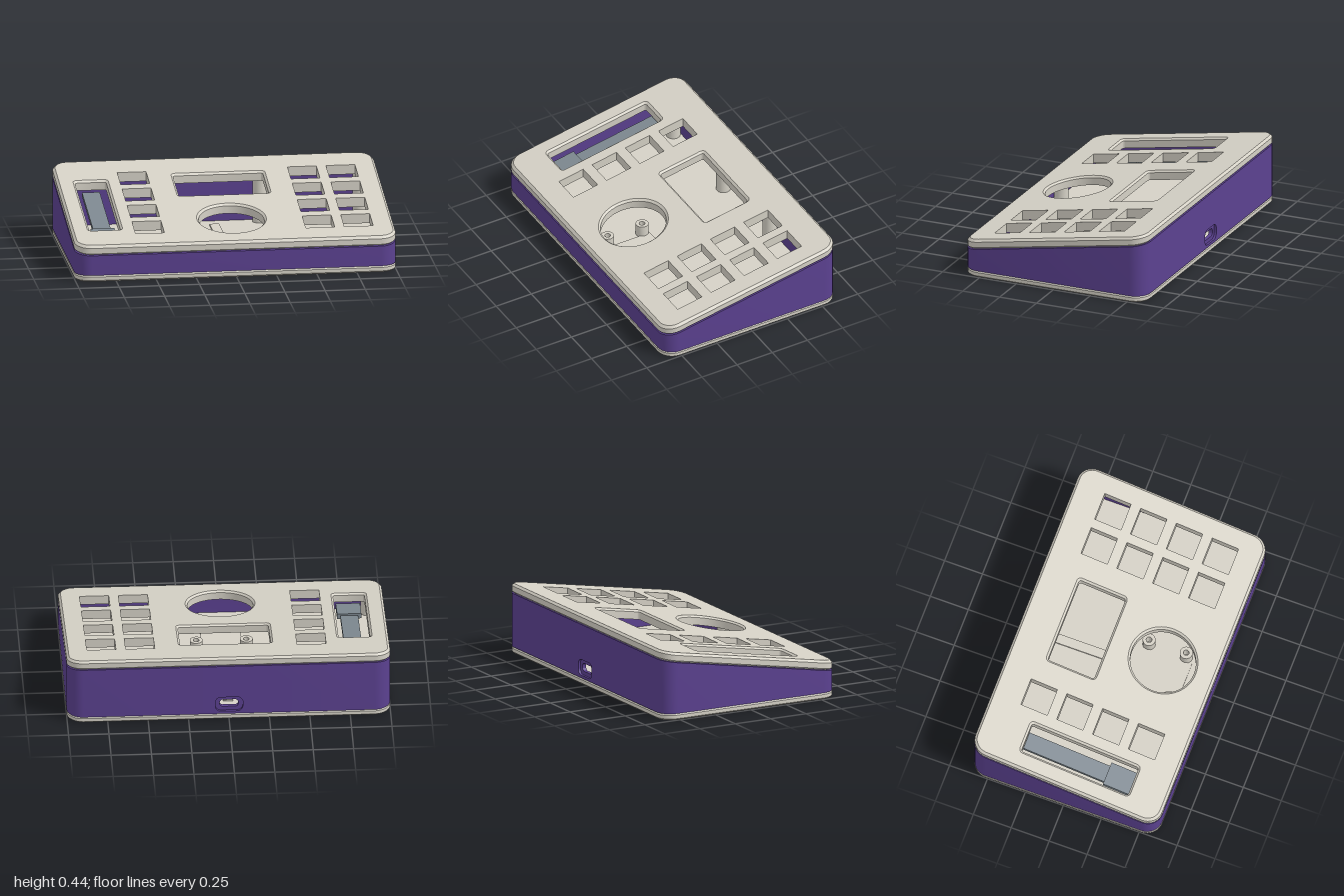
import * as THREE from 'three';
import { mergeGeometries, toCreasedNormals } from 'three/addons/utils/BufferGeometryUtils.js';

const HW = 1, HD = 0.615, SLOPE = 0.175, CORNER = 0.1;
const CREAM = 0xd5d1c6, PURPLE = 0x5b4190, SLATE = 0x7d8890;

const mat = (color) => new THREE.MeshStandardMaterial({ color });
const rise = (z) => (HD - z) * SLOPE; // height gained towards the back

// Rounded rectangle in plan, counter-clockwise, as (x, -z) points
function roundRect(x0, x1, z0, z1, r, grow = 0, segs = 8) {
  const pts = [], R = Math.max(r + grow, 0), n = r > 0 ? segs : 0;
  const corners = [[x1 - r, -z0 - r], [x0 + r, -z0 - r], [x0 + r, -z1 + r], [x1 - r, -z1 + r]];
  corners.forEach(([cx, cy], c) => {
    for (let i = 0; i <= n; i++) {
      const a = (c + (n ? i / n : 0)) * Math.PI / 2;
      pts.push(new THREE.Vector2(cx + R * Math.cos(a), cy + R * Math.sin(a)));
    }
  });
  return pts;
}
const circle = (x, z, r, grow = 0, segs = 10) => roundRect(x - r, x + r, z - r, z + r, r, grow, segs);

// Wall through a stack of [grow, y] rings of one outline
function wall(outline, rings, inward) {
  const pos = [];
  for (let k = 0; k + 1 < rings.length; k++) {
    const A = outline(rings[k][0]), B = outline(rings[k + 1][0]);
    const ya = rings[k][1], yb = rings[k + 1][1];
    for (let i = 0; i < A.length; i++) {
      let j = (i + 1) % A.length, h = i;
      if (inward) [h, j] = [j, h];
      const a = [A[h].x, ya, -A[h].y], b = [A[j].x, ya, -A[j].y];
      const c = [B[j].x, yb, -B[j].y], d = [B[h].x, yb, -B[h].y];
      pos.push(...a, ...b, ...c, ...a, ...c, ...d);
    }
  }
  const g = new THREE.BufferGeometry();
  g.setAttribute('position', new THREE.Float32BufferAttribute(pos, 3));
  return g;
}

// Flat cap with holes at height y, facing up or down
function cap(points, holes, y, up) {
  const s = new THREE.Shape(points);
  s.holes = holes.map((h) => new THREE.Path(h));
  let g = new THREE.ShapeGeometry(s).rotateX(-Math.PI / 2).translate(0, y, 0);
  if (!up) {
    const idx = g.index.array;
    for (let i = 0; i < idx.length; i += 3) [idx[i], idx[i + 1]] = [idx[i + 1], idx[i]];
  }
  g = g.toNonIndexed();
  g.deleteAttribute('uv');
  g.deleteAttribute('normal');
  return g;
}

// Plate with bevelled outline and holes; blind holes open only below
function plate(outline, rings, holes) {
  const first = (o) => o.outline(o.rings[0][0]), last = (o) => o.outline(o.rings.at(-1)[0]);
  const me = { outline, rings };
  const parts = [wall(outline, rings, false),
    cap(first(me), holes.map(first), rings[0][1], false),
    cap(last(me), holes.filter((h) => !h.blind).map(last), rings.at(-1)[1], true)];
  for (const h of holes) {
    parts.push(wall(h.outline, h.rings, true));
    if (h.blind) parts.push(cap(last(h), [], h.rings.at(-1)[1], false));
  }
  return mergeGeometries(parts);
}

function shear(g) {
  const p = g.attributes.position;
  for (let i = 0; i < p.count; i++) p.setY(i, p.getY(i) + rise(p.getZ(i)));
  return g;
}

export function createModel() {
  const group = new THREE.Group();
  const add = (name, geo, color) => {
    const g = geo.index ? geo.toNonIndexed() : geo;
    const m = new THREE.Mesh(toCreasedNormals(g, 0.5), mat(color));
    m.name = name;
    group.add(m);
    return m;
  };
  const body = (grow) => roundRect(-HW, HW, -HD, HD, CORNER, grow);

  // Base plate with countersunk screw holes and foot recesses
  const screws = [], feet = [];
  for (const sz of [-1, 1]) {
    for (const x of [-0.93, -0.29, 0.29, 0.93]) screws.push([x, sz * 0.55]);
    for (const sx of [-1, 1]) feet.push([sx * 0.81, sz * 0.435]);
  }
  const baseHoles = [
    ...screws.map(([x, z]) => ({ blind: true, outline: (g) => circle(x, z, 0.038, g, 5),
      rings: [[0, 0], [-0.018, 0.018], [-0.018, 0.034]] })),
    ...feet.map(([x, z]) => ({ blind: true, outline: (g) => circle(x, z, 0.07, g), rings: [[0, 0], [0, 0.01]] })),
  ];
  add('basePlate', plate(body, [[-0.012, 0], [0, 0.01], [0, 0.032], [-0.01, 0.042]], baseHoles), CREAM);

  // Wedge-shaped wall, left open at the back for the port panel
  const gap = 0.12, t = 0.04;
  const open = (grow) => {
    const p = body(grow), n = p.length / 4, y = HD + grow;
    return [new THREE.Vector2(-gap, y), ...p.slice(n), ...p.slice(0, n), new THREE.Vector2(gap, y)];
  };
  const ring = new THREE.Shape([...open(0), ...open(-t).reverse()]);
  const shell = new THREE.ExtrudeGeometry(ring, { depth: 1, bevelEnabled: false }).rotateX(-Math.PI / 2);
  const sp = shell.attributes.position;
  for (let i = 0; i < sp.count; i++) sp.setY(i, sp.getY(i) > 0.5 ? 0.168 + rise(sp.getZ(i)) : 0.042);
  add('shellWall', shell, PURPLE);

  // Back panel: shallow recess with a smaller port opening through it
  const panelLayer = (w, h, r, z, depth) => {
    const y = 0.11;
    const s = new THREE.Shape(roundRect(-gap, gap, -0.168 - rise(-HD), -0.042, 0));
    s.holes.push(new THREE.Path(roundRect(-w / 2, w / 2, -y - h / 2, -y + h / 2, r)));
    add('portPanel', new THREE.ExtrudeGeometry(s, { depth, bevelEnabled: false }).translate(0, 0, z), PURPLE);
  };
  panelLayer(0.17, 0.1, 0.035, -HD, 0.015);
  panelLayer(0.115, 0.05, 0.02, -HD + 0.015, t - 0.015);

  // Sloped lid with key, display, dial and slider openings
  const straight = [[0, 0.17], [0, 0.23]];
  const bevelled = [[0, 0.17], [0, 0.218], [0.013, 0.23]];
  const lidHoles = [
    { outline: (g) => roundRect(-0.27, 0.29, -0.375, -0.07, 0.015, g), rings: bevelled },
    { outline: (g) => roundRect(-0.887, -0.693, -0.32, 0.383, 0.015, g), rings: bevelled },
    { outline: (g) => circle(0.01, 0.28, 0.203, g, 16), rings: bevelled },
  ];
  for (const x of [-0.61, 0.45, 0.69])
    for (let r = 0; r < 4; r++) {
      const z = -0.425 + r * 0.236;
      lidHoles.push({ outline: () => roundRect(x, x + 0.18, z, z + 0.173, 0), rings: straight });
    }
  add('lid', shear(plate(body, [[-0.012, 0.17], [0, 0.18], [0, 0.215], [-0.015, 0.23]], lidHoles)), CREAM);

  // Screw posts between base and lid
  for (const [x, z] of screws) {
    const top = 0.168 + rise(z + 0.045), h = top - 0.04;
    const px = Math.sign(x) * Math.min(Math.abs(x), 0.915), pz = Math.sign(z) * 0.53;
    add('screwPost', new THREE.CylinderGeometry(0.045, 0.045, h, 20).translate(px, 0.04 + h / 2, pz), CREAM);
  }

  // Hollow standoffs under the dial
  const tube = [[0.018, 0.04], [0.04, 0.04], [0.04, 0.12], [0.018, 0.12], [0.018, 0.04]]
    .map(([r, y]) => new THREE.Vector2(r, y));
  for (const x of [-0.145, 0.165])
    for (const z of [0.13, 0.375])
      add('standoff', new THREE.LatheGeometry(tube, 20).translate(x, 0, z), CREAM);

  // Low rib and pad on the floor
  add('floorRib', new THREE.BoxGeometry(0.06, 0.012, 0.5).translate(0, 0.046, -0.22), CREAM);
  add('floorPad', new THREE.BoxGeometry(0.25, 0.01, 0.335).translate(0.005, 0.045, 0.257), CREAM);

  // Slider track and its knob, parallel to the lid
  add('sliderTrack', shear(new THREE.BoxGeometry(0.11, 0.025, 0.74).translate(-0.785, 0.135, 0.03)), SLATE);
  add('sliderKnob', shear(new THREE.BoxGeometry(0.15, 0.035, 0.17).translate(-0.785, 0.143, 0.295)), SLATE);

  return group;
}
